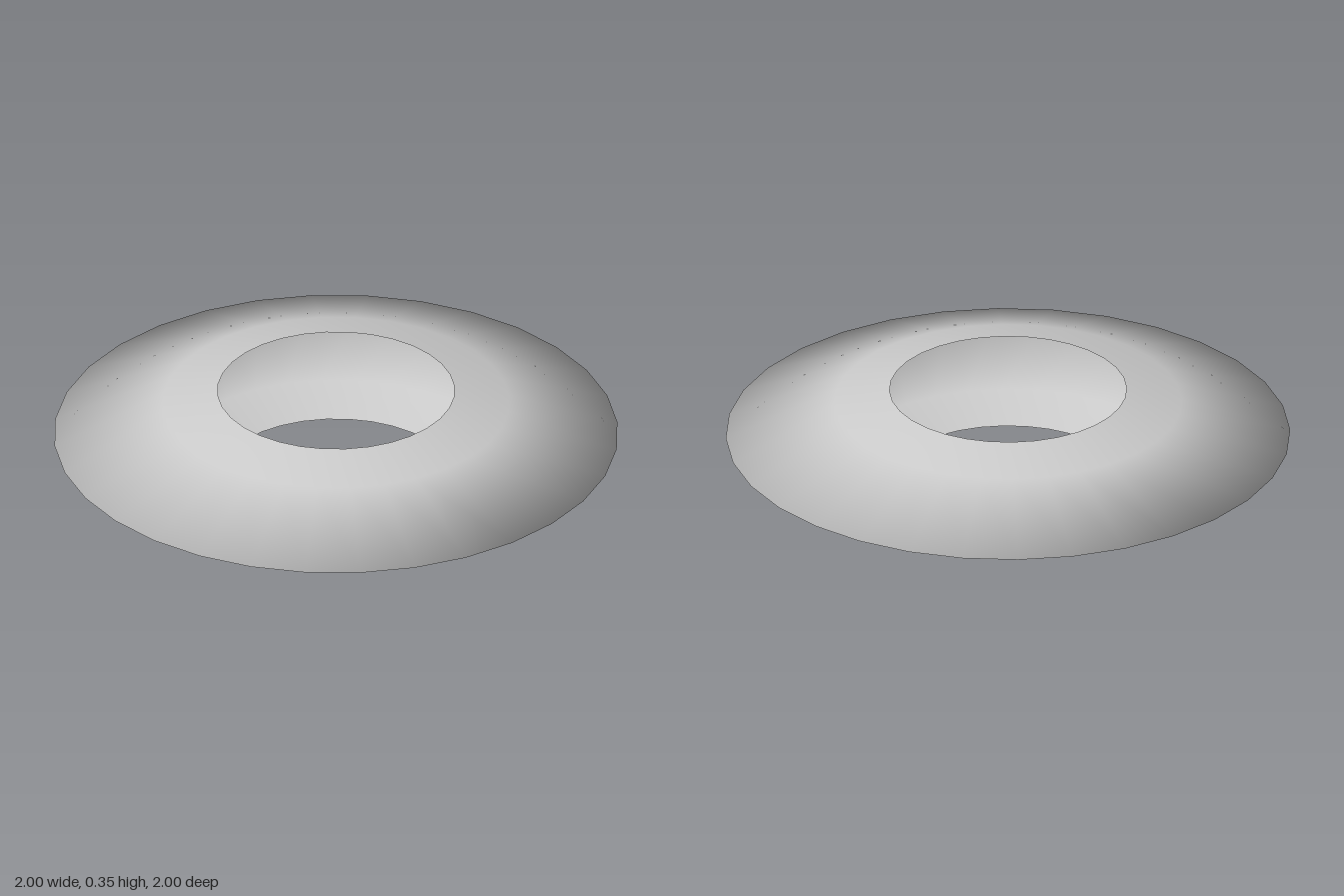
import * as THREE from 'three';

const SEGMENTS = 32;
const MID = 0.177; // height of the sharp outer rim

export function createModel() {
  const group = new THREE.Group();
  group.name = 'ringShell';

  // Upper half as [radius, height above the rim], mirrored for the lower half
  const upper = [[1, 0], [0.615, 0.128], [0.42, MID]];
  const lower = upper.slice(1).reverse().map(([r, h]) => [r, -h]);
  const profile = [...lower, ...upper].map(([r, h]) => new THREE.Vector2(r, MID + h));

  // Hollow smooth shell, open at the central hole
  const shell = new THREE.Mesh(
    new THREE.LatheGeometry(profile, SEGMENTS),
    new THREE.MeshStandardMaterial({ color: 0xcccccc, side: THREE.DoubleSide })
  );
  shell.name = 'discShell';
  group.add(shell);
  return group;
}
